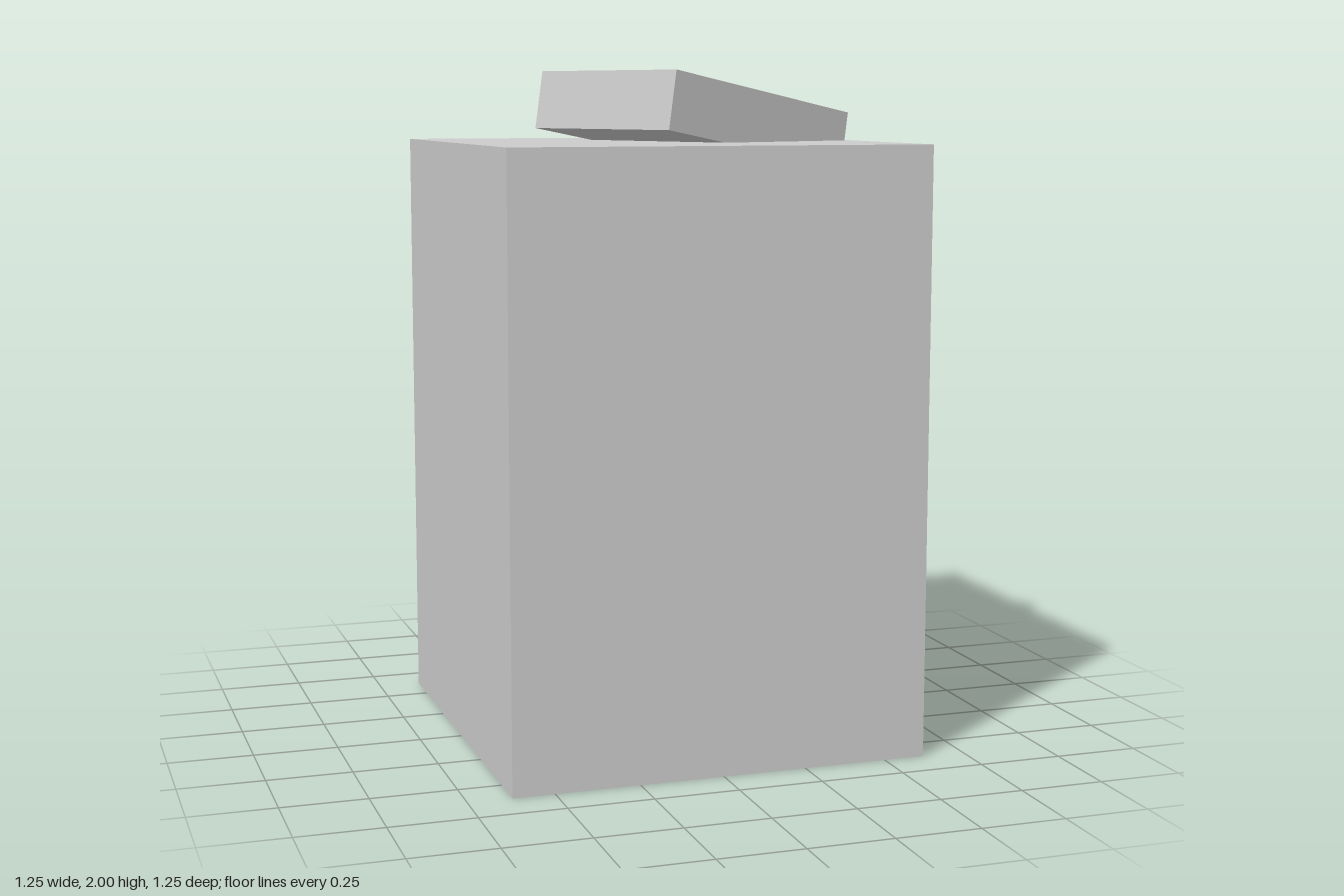
import * as THREE from 'three';

export function createModel() {
  const group = new THREE.Group();
  const material = new THREE.MeshStandardMaterial({ color: 0xcccccc, flatShading: true });

  const addBox = (name, size, position) => {
    const mesh = new THREE.Mesh(new THREE.BoxGeometry(...size), material);
    mesh.name = name;
    mesh.position.set(...position);
    group.add(mesh);
    return mesh;
  };

  // Tall square block
  addBox('pedestal', [1.246, 1.79, 1.246], [0, 0.895, 0]);

  // Slab turned and tipped, its low end sunk into the block's top
  const slab = addBox('tiltedSlab', [0.743, 0.174, 0.592], [0.148, 1.852, -0.091]);
  slab.rotation.set(0, THREE.MathUtils.degToRad(25), THREE.MathUtils.degToRad(-9.7));

  return group;
}
